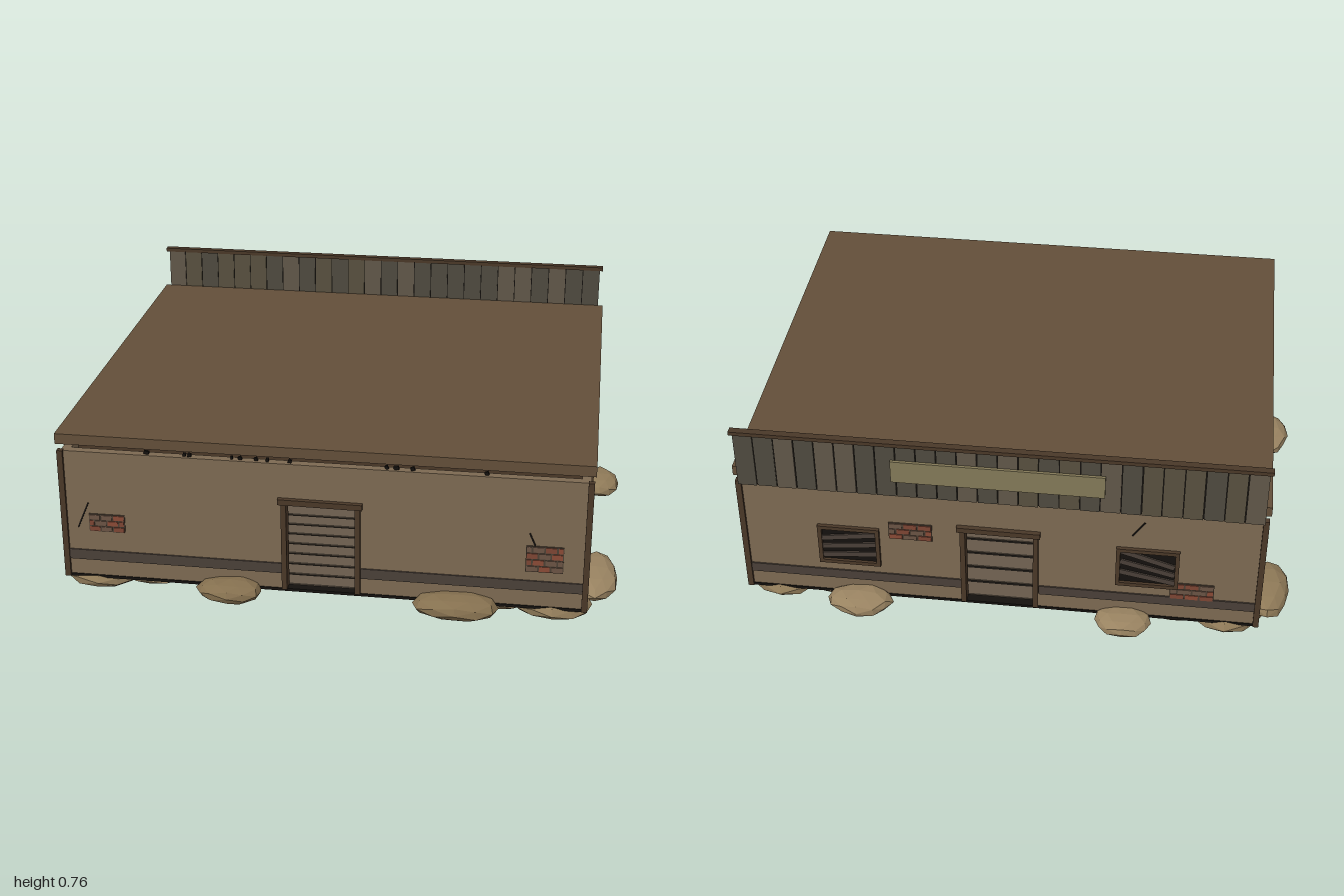
import * as THREE from 'three';

const mat = (color) => new THREE.MeshStandardMaterial({ color, flatShading: true });
const M = {
  wall: mat(0x7d6a52), roof: mat(0x634f39), wood: mat(0x4a3828), band: mat(0x4a4038),
  dark: mat(0x14110e), mortar: mat(0x4d4034), board: mat(0x66594a), sign: mat(0x847a58),
  bricks: [mat(0x7d4533), mat(0x8a4a36), mat(0x6b5444)],
  panels: [mat(0x58503f), mat(0x4f4a3f), mat(0x615749)],
  rocks: [mat(0x8f7a58), mat(0x85704f), mat(0x998361)],
};

let seed = 7;
const rnd = () => (seed = (seed * 16807) % 2147483647) / 2147483647;

function box(parent, name, material, w, h, d, x, y, z, tilt = 0) {
  const m = new THREE.Mesh(new THREE.BoxGeometry(w, h, d), material);
  m.name = name;
  m.position.set(x, y, z);
  m.rotation.z = tilt;
  parent.add(m);
  return m;
}

// patch of bare brick: x0..x1, y0..y1 on the wall face
function brickPatch(parent, [x0, x1, y0, y1]) {
  const g = new THREE.Group();
  g.name = 'brickPatch';
  const w = x1 - x0, h = y1 - y0;
  box(g, 'mortar', M.mortar, w, h, 0.006, x0 + w / 2, y0 + h / 2, 0.001);
  const rows = Math.max(3, Math.round(h / 0.022)), rh = h / rows, bw = w / 3;
  for (let r = 0; r < rows; r++) {
    for (let i = 0; i < 4; i++) {
      const start = i * bw - (r % 2 ? bw / 2 : 0);
      const a = Math.max(0, start) + 0.003, b = Math.min(w, start + bw) - 0.003;
      if (b - a < 0.006) continue;
      box(g, 'brick', M.bricks[Math.floor(rnd() * 3)], b - a, rh - 0.005, 0.008,
        x0 + (a + b) / 2, y0 + (r + 0.5) * rh, 0.003);
    }
  }
  parent.add(g);
}

// thin crack from one point of the wall face to another
function crack(parent, [x0, y0, x1, y1]) {
  box(parent, 'crack', M.dark, Math.hypot(x1 - x0, y1 - y0), 0.005, 0.004,
    (x0 + x1) / 2, (y0 + y1) / 2, 0.001, Math.atan2(y1 - y0, x1 - x0));
}

// window with a dark recess, frame and slanted boards
function boardedWindow(parent, [cx, cy, tilt]) {
  const g = new THREE.Group();
  g.name = 'boardedWindow';
  g.position.set(cx, cy, 0);
  const w = 0.2, h = 0.15;
  box(g, 'windowPane', M.dark, w, h, 0.006, 0, 0, 0);
  for (const s of [-1, 1]) {
    box(g, 'windowFrame', M.wood, 0.014, h, 0.018, s * w / 2, 0, 0.004);
    box(g, 'windowFrame', M.wood, w + 0.014, 0.014, 0.018, 0, s * h / 2, 0.004);
  }
  for (let i = -1; i <= 1; i++)
    box(g, 'windowBoard', M.band, w * 0.96, 0.02, 0.006, 0, i * 0.04, 0.006, tilt * (1 + i * 0.25));
  parent.add(g);
}

// one side of the building, facing +z with its outer face at z = 0
function wallSide(name, half, dist, turn, { patches = [], cracks = [], windows = [] }) {
  const g = new THREE.Group();
  g.name = name;
  const s = new THREE.Shape();
  [[-half, 0.065], [-0.125, 0.065], [-0.125, 0.39], [0.125, 0.39], [0.125, 0.065],
    [half, 0.065], [half, 0.53], [-half, 0.53]]
    .forEach(([x, y], i) => (i ? s.lineTo(x, y) : s.moveTo(x, y)));
  const wall = new THREE.Mesh(
    new THREE.ExtrudeGeometry(s, { depth: 0.03, bevelEnabled: false }), M.wall);
  wall.name = 'wall';
  wall.position.z = -0.03;
  g.add(wall);
  for (const k of [-1, 1]) {
    box(g, 'skirtBand', M.band, half - 0.135, 0.037, 0.01, k * (half + 0.135) / 2, 0.142, 0);
    box(g, 'doorPost', M.wood, 0.018, 0.325, 0.045, k * 0.125, 0.228, -0.01);
  }
  box(g, 'doorLintel', M.wood, 0.285, 0.02, 0.05, -0.002, 0.395, -0.008, -0.008);
  patches.forEach((p) => brickPatch(g, p));
  cracks.forEach((c) => crack(g, c));
  windows.forEach((w) => boardedWindow(g, w));
  // broken bits along the wall top
  for (let i = 0; i < 12; i++)
    box(g, 'wallTopFragment', M.dark, 0.006 + rnd() * 0.012, 0.012, 0.01,
      (rnd() - 0.5) * 1.5 * half, 0.535, -0.015, rnd() - 0.5);
  g.rotation.y = turn;
  g.position.set(Math.sin(turn) * dist, 0, Math.cos(turn) * dist);
  return g;
}

// faceted boulder with slightly uneven corners
function boulder(x, y, z, rx, ry, rz) {
  const geo = new THREE.IcosahedronGeometry(1, 1);
  const p = geo.attributes.position, ph = rnd() * 6;
  for (let i = 0; i < p.count; i++) {
    const a = p.getX(i), b = p.getY(i), c = p.getZ(i);
    const k = 0.95 + 0.07 * Math.sin(4 * a + ph) * Math.cos(3 * c + 2 * b + ph);
    p.setXYZ(i, a * k * rx, b * k * ry, c * k * rz);
  }
  geo.computeVertexNormals();
  const m = new THREE.Mesh(geo, M.rocks[Math.floor(rnd() * 3)]);
  m.name = 'boulder';
  m.position.set(x, y, z);
  return m;
}

export function createModel() {
  const model = new THREE.Group();
  model.name = 'outpostBuilding';

  // floor slab with planks
  box(model, 'floorSlab', M.dark, 1.78, 0.01, 1.53, 0, 0.06, 0);
  for (let i = 0; i < 20; i++)
    box(model, 'floorPlank', M.board, 1.7, 0.004, 0.062, 0, 0.067, -0.703 + i * 0.074);

  // four walls
  model.add(
    wallSide('frontWall', 0.885, 0.762, 0, {
      patches: [[-0.8, -0.675, 0.235, 0.3], [0.685, 0.81, 0.195, 0.29]],
      cracks: [[-0.84, 0.245, -0.8, 0.34], [0.695, 0.335, 0.715, 0.29]],
    }),
    wallSide('leftWall', 0.762, 0.885, Math.PI / 2, {
      patches: [[-0.61, -0.485, 0.285, 0.345], [0.63, 0.72, 0.355, 0.45]],
      cracks: [[-0.605, 0.35, -0.565, 0.44], [0.68, 0.45, 0.69, 0.475]],
    }),
    wallSide('backWall', 0.885, 0.762, Math.PI, {
      patches: [[-0.38, -0.23, 0.325, 0.395], [0.585, 0.735, 0.155, 0.225]],
      cracks: [[0.45, 0.42, 0.49, 0.48]],
      windows: [[-0.52, 0.28, 0.12], [0.505, 0.285, -0.25]],
    }),
    wallSide('rightWall', 0.762, 0.885, -Math.PI / 2, {
      patches: [[-0.645, -0.515, 0.245, 0.31], [0.19, 0.3, 0.3, 0.365]],
      cracks: [[-0.3, 0.25, -0.28, 0.22], [0.61, 0.16, 0.65, 0.26]],
    }));

  // corner posts
  for (const x of [-1, 1]) for (const z of [-1, 1])
    box(model, 'cornerPost', M.wood, 0.02, 0.475, 0.02, x * 0.886, 0.295, z * 0.762);

  // roof slab and joists under it
  box(model, 'roof', M.roof, 1.8, 0.037, 1.54, 0, 0.575, 0);
  for (let i = 0; i < 9; i++)
    box(model, 'ceilingJoist', M.wood, 1.72, 0.04, 0.035, 0, 0.5, -0.64 + i * 0.16);

  // parapet of upright boards along the back, with cap and blank sign
  const parapet = new THREE.Group();
  parapet.name = 'parapet';
  const count = 26, step = 1.765 / count;
  for (let i = 0; i < count; i++)
    box(parapet, 'parapetBoard', M.panels[Math.floor(rnd() * 3)], step - 0.003, 0.215,
      0.01 + rnd() * 0.005, -0.8825 + (i + 0.5) * step, 0.638, -0.778);
  box(parapet, 'parapetBacking', M.dark, 1.76, 0.21, 0.004, 0, 0.637, -0.778);
  box(parapet, 'parapetCap', M.wood, 1.785, 0.014, 0.025, 0, 0.747, -0.778);
  box(parapet, 'signBoard', M.sign, 0.71, 0.085, 0.01, 0, 0.642, -0.791);
  model.add(parapet);

  // boulders around the base: x, y, z, then radii
  const rocks = new THREE.Group();
  rocks.name = 'boulders';
  [[-0.43, 0.06, -0.8, 0.105, 0.04, 0.075], [0.49, 0.06, -0.8, 0.12, 0.045, 0.078],
    [-0.925, 0.06, -0.58, 0.08, 0.045, 0.15], [0.925, 0.06, -0.24, 0.075, 0.042, 0.11],
    [-0.925, 0.06, 0.32, 0.075, 0.042, 0.12], [0.92, 0.06, 0.52, 0.083, 0.045, 0.17],
    [-0.31, 0.06, 0.79, 0.12, 0.042, 0.078], [0.46, 0.06, 0.79, 0.15, 0.047, 0.08],
  ].forEach((r) => rocks.add(boulder(...r)));
  // flat boulders under the corners
  for (const x of [-1, 1]) for (const z of [-1, 1]) {
    rocks.add(boulder(x * 0.78, 0.04, z * 0.68, 0.14, 0.042, 0.11));
    rocks.add(boulder(x * 0.6, 0.05, z * 0.69, 0.11, 0.032, 0.075));
    rocks.add(boulder(x * 0.81, 0.05, z * 0.5, 0.075, 0.032, 0.11));
  }
  model.add(rocks);
  return model;
}
